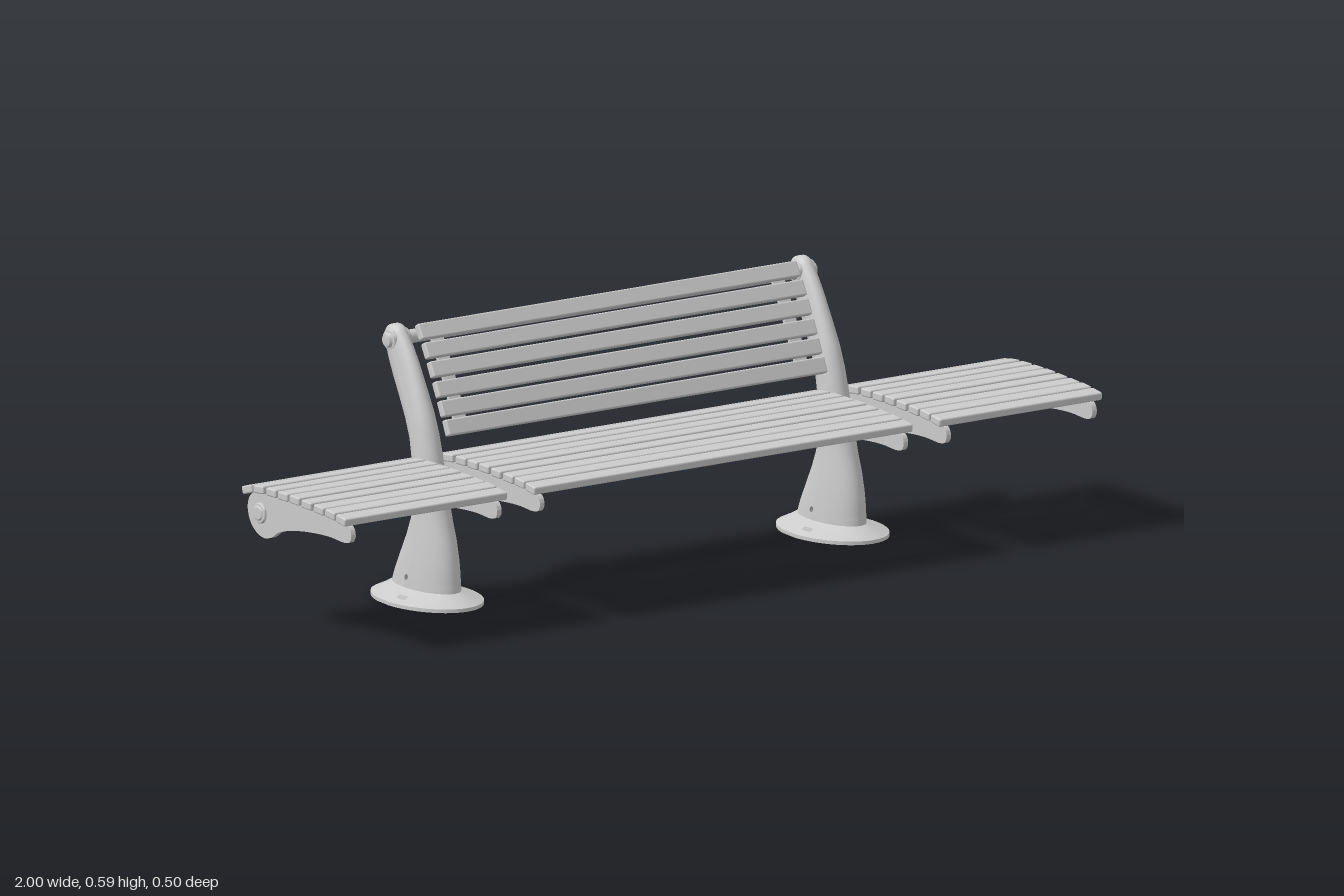
import * as THREE from 'three';
import { toCreasedNormals } from 'three/addons/utils/BufferGeometryUtils.js';
import { RoundedBoxGeometry } from 'three/addons/geometries/RoundedBoxGeometry.js';

const grey = new THREE.MeshStandardMaterial({ color: 0xcccccc });
const greyOpen = new THREE.MeshStandardMaterial({ color: 0xcccccc, side: THREE.DoubleSide });

const POST_X = 0.535;
const SEAT_TUBE = [0.254, -0.086]; // y, z
const BACK_TUBE = [0.552, -0.209];

function add(parent, name, geometry, x = 0, y = 0, z = 0, material = grey) {
  const mesh = new THREE.Mesh(geometry, material);
  mesh.name = name;
  mesh.position.set(x, y, z);
  parent.add(mesh);
  return mesh;
}

// Elliptical loft. Section: [front z, front y, back z, back y, half width].
function loft(sections, angles, skip, tweak) {
  const pos = [], index = [], n = angles.length;
  sections.forEach(([zf, yf, zb, yb, hw], i) => angles.forEach((a, j) => {
    const c = Math.cos(a) / 2;
    const p = new THREE.Vector3(hw * Math.sin(a),
      (yf + yb) / 2 + (yf - yb) * c, (zf + zb) / 2 + (zf - zb) * c);
    if (tweak) tweak(p, i, j);
    pos.push(p.x, p.y, p.z);
  }));
  for (let i = 0; i < sections.length - 1; i++) for (let j = 0; j < n; j++) {
    if (skip(i, j)) continue;
    const a = i * n + j, b = i * n + (j + 1) % n;
    index.push(a, b, b + n, a, b + n, a + n);
  }
  const g = new THREE.BufferGeometry();
  g.setAttribute('position', new THREE.Float32BufferAttribute(pos, 3));
  g.setIndex(index);
  g.computeVertexNormals();
  return g;
}

// 40 angles, with the ones around both sides set for a hole of given centre and half width
function ringAngles(centre, half) {
  const a = Array.from({ length: 40 }, (_, i) => i * Math.PI / 20);
  for (const k of [-1, 0, 1]) {
    const t = Math.acos(centre - k * half);
    a[10 + k] = t;
    a[30 - k] = 2 * Math.PI - t;
  }
  return a;
}
const sideSector = j => [9, 10, 29, 30].includes(j);

function postGeometry() {
  const s = [
    [0.004, 0.03, -0.205, 0.03, 0.053],
    [0.003, 0.046, -0.199, 0.046, 0.052],
    [0.002, 0.053, -0.196, 0.053, 0.0515],
    [0.002, 0.06, -0.193, 0.06, 0.051],
    [-0.002, 0.095, -0.175, 0.095, 0.048],
    [-0.012, 0.14, -0.152, 0.14, 0.043],
    [-0.025, 0.177, -0.137, 0.177, 0.039],
    [-0.033, 0.21, -0.132, 0.21, 0.036],
    [-0.046, 0.26, -0.132, 0.26, 0.034],
    [-0.058, 0.31, -0.135, 0.302, 0.032],
    [-0.072, 0.365, -0.145, 0.348, 0.030],
    [-0.089, 0.413, -0.163, 0.388, 0.028],
    [-0.112, 0.46, -0.186, 0.428, 0.026],
    [-0.138, 0.51, -0.212, 0.472, 0.024],
    [-0.160, 0.545, -0.229, 0.507, 0.023],
  ];
  // rounded top end
  const dz = -0.49, dy = 0.872, r = 0.034;
  for (let k = 0; k <= 8; k++) {
    const f = k * Math.PI / 16, c = r * Math.cos(f), u = r * Math.sin(f);
    const z = BACK_TUBE[1] + dz * u, y = BACK_TUBE[0] + dy * u;
    s.push([z + dy * c, y - dz * c, z - dy * c, y + dz * c, 0.022 * Math.sqrt(Math.max(0, Math.cos(f)))]);
  }
  // small round drain hole through both sides
  return loft(s, ringAngles(-0.08, 0.07),
    (i, j) => (i === 1 || i === 2) && sideSector(j),
    (p, i, j) => {
      if ((i === 1 || i === 3) && [9, 11, 29, 31].includes(j)) {
        p.z += (-0.105 - p.z) * 0.3;
        p.y += (0.053 - p.y) * 0.3;
      }
    });
}

function flangeGeometry() {
  const ring = (y, rx, rz, zc = -0.098) => [zc + rz, y, zc - rz, y, rx];
  const s = [
    ring(0.03, 0.05, 0.08), ring(0, 0.055, 0.08), ring(0, 0.105, 0.15), ring(0.008, 0.105, 0.15),
    ring(0.015, 0.088, 0.135), ring(0.02, 0.075, 0.124), ring(0.03, 0.053, 0.1045, -0.1005),
  ];
  // bolt slot on each side of the sloping top
  const g = loft(s, ringAngles(0.14, 0.115), (i, j) => i === 4 && sideSector(j));
  return toCreasedNormals(g.toNonIndexed(), 0.3);
}

// Flat plate from a z-y outline, extruded along x and centred
function plate(shape, thickness) {
  const g = new THREE.ExtrudeGeometry(shape, { depth: thickness, bevelEnabled: false, curveSegments: 8 });
  g.translate(0, 0, -thickness / 2).rotateY(-Math.PI / 2);
  return toCreasedNormals(g, 0.6);
}

function bracketGeometry() {
  const pts = [
    [0.249, 0.269], [0.242, 0.285], [0.226, 0.290], [0.155, 0.297], [0.066, 0.3025], [-0.023, 0.3025],
    [-0.085, 0.299], [-0.121, 0.289], [-0.133, 0.264], [-0.126, 0.233], [-0.103, 0.210], [-0.073, 0.201],
    [-0.044, 0.208], [-0.02, 0.223], [0.03, 0.237], [0.1, 0.247], [0.17, 0.251], [0.23, 0.249], [0.244, 0.255],
  ].map(p => new THREE.Vector3(p[0], p[1], 0));
  const curve = new THREE.CatmullRomCurve3(pts, true);
  const outline = curve.getPoints(76).slice(0, -1).map(p => new THREE.Vector2(p.x, p.y));
  return plate(new THREE.Shape(outline), 0.012);
}

// Stepped cap on the end of a tube, facing +x
function capGeometry(r, length) {
  const profile = [[0, length], [r * 0.58, length], [r * 0.7, length * 0.8], [r * 0.92, length * 0.75], [r, length * 0.55], [r, 0]]
    .map(p => new THREE.Vector2(...p)).reverse();
  return toCreasedNormals(new THREE.LatheGeometry(profile, 28).rotateZ(-Math.PI / 2).toNonIndexed(), 0.5);
}

const tube = (r, length) => new THREE.CylinderGeometry(r, r, length, 24).rotateZ(Math.PI / 2);

// Seat slats: [z, y, tilt]
const SEAT = [
  [0.230, 0.301, 0.14], [0.190, 0.306, 0.09], [0.148, 0.308, 0.06], [0.103, 0.310, 0.04], [0.059, 0.312, 0.02],
  [0.016, 0.312, 0], [-0.027, 0.312, -0.02], [-0.073, 0.310, -0.1], [-0.116, 0.302, -0.3],
];
// Backrest slats: [z, y, tilt]
const BACK = [
  [-0.080, 0.374, -0.40], [-0.099, 0.412, -0.43], [-0.117, 0.451, -0.45],
  [-0.137, 0.491, -0.48], [-0.157, 0.529, -0.50], [-0.180, 0.566, -0.52],
];

function seatPanel(name, x, length) {
  const g = new THREE.Group();
  g.name = name;
  const slat = new RoundedBoxGeometry(length, 0.018, 0.036, 2, 0.004);
  for (const [z, y, tilt] of SEAT) add(g, 'seatSlat', slat, x, y, z).rotation.x = tilt;
  return g;
}

export function createModel() {
  const model = new THREE.Group();
  model.name = 'bench';

  // Seats
  model.add(seatPanel('middleSeat', 0, 1), seatPanel('leftSeat', 0.785, 0.43), seatPanel('rightSeat', -0.785, 0.43));

  // Backrest
  const backrest = new THREE.Group();
  backrest.name = 'backrest';
  model.add(backrest);
  const backSlat = new RoundedBoxGeometry(1, 0.036, 0.018, 2, 0.004);
  for (const [z, y, tilt] of BACK) add(backrest, 'backSlat', backSlat, 0, y, z).rotation.x = tilt;

  // Curved straps behind the backrest slats
  const edge = d => BACK.map(([z, y, t]) => new THREE.Vector2(z - d * Math.cos(t), y + d * Math.sin(t)));
  const strap = plate(new THREE.Shape([...edge(0.007), ...edge(0.016).reverse()]), 0.03);

  // Tubes
  add(model, 'seatTube', tube(0.015, 1.96), 0, ...SEAT_TUBE);
  add(backrest, 'backTube', tube(0.015, 2 * POST_X), 0, ...BACK_TUBE);

  // Posts, brackets and caps on both sides
  const post = postGeometry(), flange = flangeGeometry(), bracket = bracketGeometry();
  const topCap = capGeometry(0.024, 0.03), seatCap = capGeometry(0.023, 0.012);
  for (const s of [1, -1]) {
    add(model, 'post', post, s * POST_X, 0, 0, greyOpen);
    add(model, 'postFlange', flange, s * POST_X, 0, 0, greyOpen);
    for (const x of [0.48, 0.593, 0.978]) add(model, 'seatBracket', bracket, s * x);
    add(backrest, 'backStrap', strap, s * 0.45);
    for (const d of [1, -1]) {
      add(model, 'topCap', topCap, s * POST_X, ...BACK_TUBE).rotation.y = d > 0 ? 0 : Math.PI;
    }
    add(model, 'seatTubeCap', seatCap, s * 0.98, ...SEAT_TUBE).rotation.y = s > 0 ? 0 : Math.PI;
  }
  return model;
}
